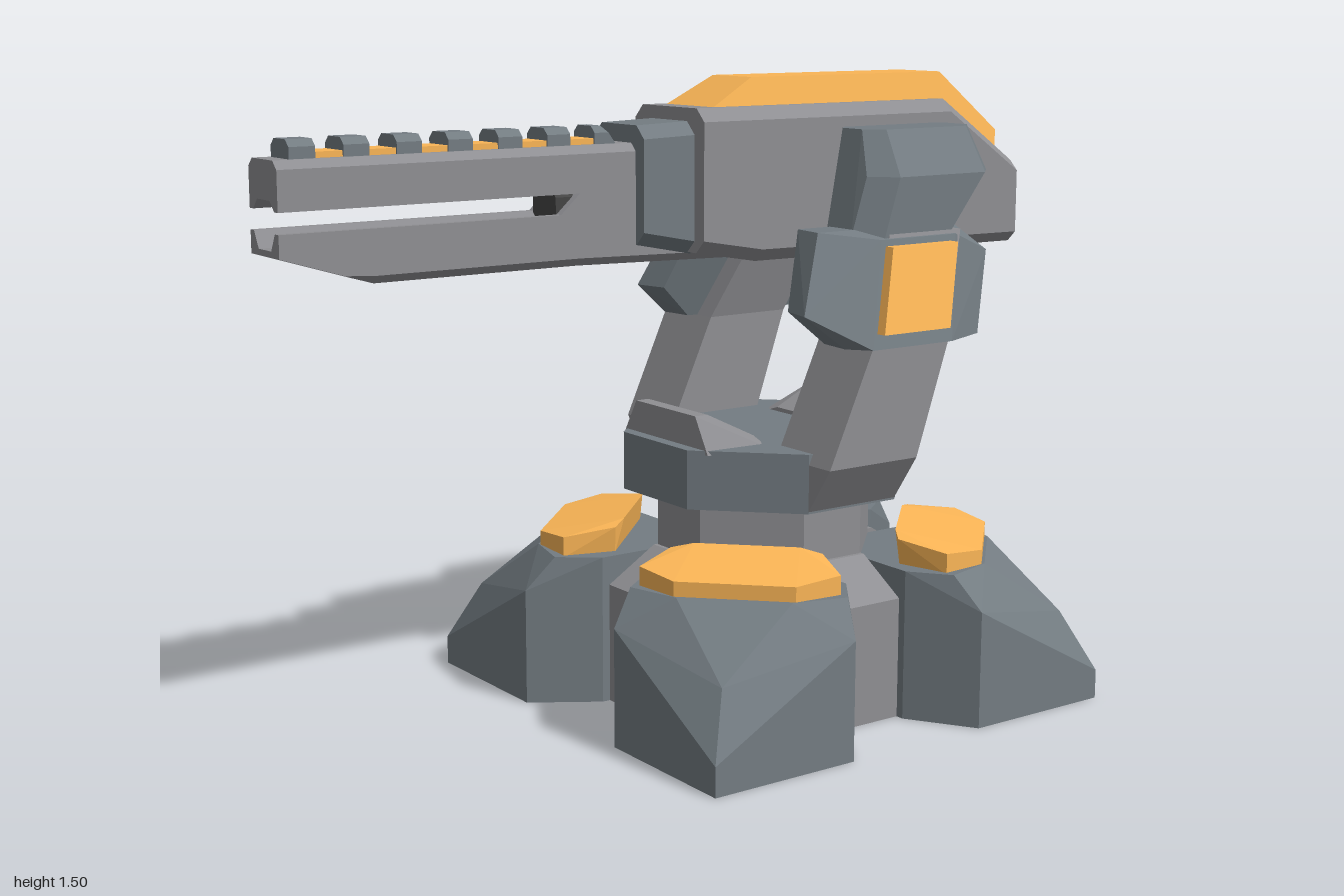
import * as THREE from 'three';
import { ConvexGeometry } from 'three/addons/geometries/ConvexGeometry.js';

const paint = (color) => new THREE.MeshStandardMaterial({ color, flatShading: true });

export function createModel() {
  const model = new THREE.Group();
  const steel = paint(0x8f8f93), slate = paint(0x737c82), amber = paint(0xfab556), dark = paint(0x444444);
  const BASE_Z = -0.3, GUN_X = -0.012;

  const add = (name, geometry, material, parent = model) => {
    const mesh = new THREE.Mesh(geometry, material);
    mesh.name = name;
    parent.add(mesh);
    return mesh;
  };
  // Faceted solid around a set of corner points
  const solid = (name, points, material, parent) =>
    add(name, new ConvexGeometry(points.map((p) => new THREE.Vector3(...p))), material, parent);
  const group = (name, x, z) => {
    const g = new THREE.Group();
    g.name = name;
    g.position.set(x, 0, z);
    model.add(g);
    return g;
  };
  // Octagon corners: flats at distance r, each flat 2h wide
  const octagon = (r, h) => {
    const out = [];
    for (const a of [-1, 1]) for (const b of [-1, 1]) out.push([a * r, b * h], [a * h, b * r]);
    return out;
  };
  const prism = (outline, y0, y1) => outline.flatMap(([x, z]) => [[x, y0, z], [x, y1, z]]);

  // ---- Base ----
  const base = group('base', 0, BASE_Z);
  const withMirror = (pts) => pts.flatMap(([x, y, z]) => [[x, y, z], [z, y, x]]);
  const footPoints = withMirror([
    [0.09, 0, 0.255], [0.09, 0, 0.42], [0.19, 0, 0.575], [0.575, 0, 0.575],
    [0.575, 0.07, 0.575], [0.51, 0.215, 0.51], [0.19, 0.28, 0.575],
    [0.16, 0.36, 0.51], [0.29, 0.36, 0.475], [0.09, 0.36, 0.42], [0.09, 0.36, 0.255],
  ]);
  const padPoints = withMirror([
    [0.125, 0.355, 0.36], [0.16, 0.355, 0.485], [0.28, 0.355, 0.475],
    [0.145, 0.432, 0.32], [0.115, 0.422, 0.365], [0.16, 0.405, 0.485], [0.28, 0.395, 0.475],
  ]);
  for (const sx of [-1, 1]) for (const sz of [-1, 1]) {
    const place = (pts) => pts.map(([x, y, z]) => [sx * x, y, sz * z]);
    solid('foot', place(footPoints), slate, base);
    solid('footPad', place(padPoints), amber, base);
  }
  // Sloped blocks that fill the gaps between the feet
  const block = [];
  for (const a of [-0.09, 0.09]) for (const s of [-1, 1]) {
    block.push([a, 0, s * 0.4], [a, 0.29, s * 0.4], [a, 0.37, s * 0.27]);
  }
  solid('coreBlock', block, steel, base);
  solid('coreBlock', block.map(([x, y, z]) => [z, y, x]), steel, base);
  solid('column', prism(octagon(0.26, 0.086), 0, 0.52), steel, base);
  solid('turntable', prism(octagon(0.33, 0.13), 0.51, 0.65), slate, base);
  // Wedges on the front and back rim, sloping down to the middle
  for (const s of [-1, 1]) {
    const wedge = [];
    for (const m of [-1, 1]) {
      wedge.push([m * 0.17, 0.64, s * 0.3], [m * 0.12, 0.725, s * 0.3], [m * 0.12, 0.725, s * 0.265],
        [m * 0.18, 0.64, s * 0.13], [m * 0.12, 0.66, s * 0.13]);
    }
    solid('rimWedge', wedge, steel, base);
  }

  // ---- Arms ----
  const ring = (y, x0, x1, z0, z1) => [[x0, y, z0], [x0, y, z1], [x1, y, z0], [x1, y, z1]];
  // Same, with all four corners cut by c
  const cutRing = (y, x0, x1, z0, z1, c) => [
    [x0, y, z0 - c], [x0, y, z1 + c], [x0 + c, y, z0], [x0 + c, y, z1],
    [x1 - c, y, z0], [x1 - c, y, z1], [x1, y, z0 - c], [x1, y, z1 + c],
  ];
  const lowerArm = [
    ring(0.515, 0.2, 0.33, -0.17, -0.43), ring(0.625, 0.212, 0.405, -0.17, -0.43),
    ring(0.89, 0.212, 0.405, -0.29, -0.52), ring(1.14, 0.14, 0.33, -0.4, -0.62),
  ];
  const upperArm = [
    ...cutRing(1.13, 0.13, 0.33, -0.33, -0.64, 0.055), ...cutRing(1.27, 0.12, 0.33, -0.375, -0.75, 0.055),
    ...cutRing(1.375, 0.11, 0.26, -0.405, -0.735, 0.04),
  ];
  // Armour and its plate follow the inward lean of the arm
  const lean = (x, profile) => profile.map(([z, y]) => [x - 0.3 * (y - 0.89), y, z]);
  const armour = [
    ...lean(0.27, [[-0.17, 0.97], [-0.24, 1.15], [-0.63, 1.15], [-0.72, 1.08], [-0.65, 0.89], [-0.26, 0.89]]),
    ...lean(0.355, [[-0.15, 0.97], [-0.23, 1.15], [-0.64, 1.15], [-0.735, 1.08], [-0.66, 0.89], [-0.25, 0.89]]),
    ...lean(0.408, [[-0.29, 0.89], [-0.37, 1.13], [-0.6, 1.13], [-0.53, 0.89]]),
  ];
  const plateProfile = [[-0.31, 0.925], [-0.38, 1.115], [-0.58, 1.115], [-0.51, 0.925]];
  const plate = [...lean(0.4, plateProfile), ...lean(0.434, plateProfile)];
  for (const s of [1, -1]) {
    const arm = group(s > 0 ? 'leftArm' : 'rightArm', 0, 0);
    const side = (pts) => pts.map(([x, y, z]) => [s * x, y, z]);
    for (let i = 0; i < lowerArm.length - 1; i++) {
      solid('lowerArm', side([...lowerArm[i], ...lowerArm[i + 1]]), steel, arm);
    }
    solid('upperArm', side(upperArm), slate, arm);
    solid('armArmour', side(armour), slate, arm);
    solid('armPlate', side(plate), amber, arm);
  }

  // ---- Gun ----
  const gun = group('gun', GUN_X, 0);
  // Chamfered rectangle across the gun
  const slice = (z, w, y0, y1, c) => [-1, 1].flatMap((m) => [
    [m * (w - c), y0, z], [m * w, y0 + c, z], [m * w, y1 - c, z], [m * (w - c), y1, z],
  ]);
  solid('gunBody', [
    ...slice(-0.02, 0.137, 1.1, 1.43, 0.03), ...slice(-0.19, 0.137, 1.07, 1.43, 0.03),
    ...slice(-0.77, 0.137, 1.066, 1.43, 0.03), ...slice(-1, 0.137, 1.065, 1.27, 0.025),
  ], steel, gun);
  solid('gunCollar', [
    ...slice(0.12, 0.1, 1.125, 1.395, 0.03), ...slice(-0.03, 0.1, 1.095, 1.4, 0.03),
  ], slate, gun);
  // Amber cover along the top and down the back slope
  const cover = [-1, 1].flatMap((m) => [
    [m * 0.095, 1.42, -0.06], [m * 0.075, 1.495, -0.2], [m * 0.075, 1.495, -0.785],
    [m * 0.095, 1.42, -0.78], [m * 0.075, 1.345, -0.98], [m * 0.095, 1.28, -0.96],
  ]);
  solid('topCover', cover, amber, gun);

  // Barrel: a solid root running under the body, then two rails grooved by an octagonal bore
  solid('barrelRoot', [
    ...slice(-0.2, 0.067, 1.075, 1.355, 0.018), ...slice(0.27, 0.067, 1.087, 1.355, 0.018),
  ], steel, gun);
  const rail = (outline, steps) => {
    const shape = new THREE.Shape(outline.map((p) => new THREE.Vector2(...p)));
    const g = new THREE.ExtrudeGeometry(shape, { depth: 0.74, steps, bevelEnabled: false });
    return g.translate(0, 0, 0.26);
  };
  add('upperRail', rail([
    [-0.067, 1.25], [-0.05, 1.25], [-0.03, 1.272], [0.03, 1.272], [0.05, 1.25], [0.067, 1.25],
    [0.067, 1.337], [0.049, 1.355], [-0.049, 1.355], [-0.067, 1.337],
  ], 1), steel, gun);
  const lower = rail([
    [-0.049, 1.087], [0.049, 1.087], [0.067, 1.105], [0.067, 1.205], [0.05, 1.205], [0.03, 1.168],
    [-0.03, 1.168], [-0.05, 1.205], [-0.067, 1.205], [-0.067, 1.105],
  ], 10);
  // Cut the underside of the lower rail up towards the muzzle
  const pos = lower.attributes.position;
  for (let i = 0; i < pos.count; i++) {
    const rise = Math.max(0, (pos.getZ(i) - 0.778) / 0.222) * 0.068;
    pos.setY(i, Math.max(pos.getY(i), 1.087 + rise));
  }
  lower.computeVertexNormals();
  add('lowerRail', lower, steel, gun);
  // Slanted inner end of the slot
  solid('slotEnd', [-0.067, 0.067].flatMap((x) => [
    [x, 1.25, 0.2], [x, 1.205, 0.2], [x, 1.25, 0.27], [x, 1.205, 0.32],
  ]), steel, gun);
  const bore = add('boreEnd', new THREE.CylinderGeometry(0.052, 0.052, 0.05, 8), dark, gun);
  bore.rotation.set(Math.PI / 2, Math.PI / 8, 0);
  bore.position.set(0, 1.222, 0.297);

  // Amber strip with a row of teeth; the last one slopes at the back
  const strip = add('barrelStrip', new THREE.BoxGeometry(0.076, 0.02, 0.76), amber, gun);
  strip.position.set(0, 1.358, 0.55);
  for (let i = 0; i < 7; i++) {
    const z = 0.9 - i * 0.1243;
    const slope = i === 6 ? 0.035 : 0;
    solid('barrelTooth', [-1, 1].flatMap((m) => [
      [m * 0.042, 1.35, z], [m * 0.042, 1.35, z + 0.06], [m * 0.042, 1.38, z + 0.06],
      [m * 0.042, 1.38, z + slope * 0.65], [m * 0.027, 1.395, z + slope], [m * 0.027, 1.395, z + 0.06],
    ]), slate, gun);
  }
  return model;
}
